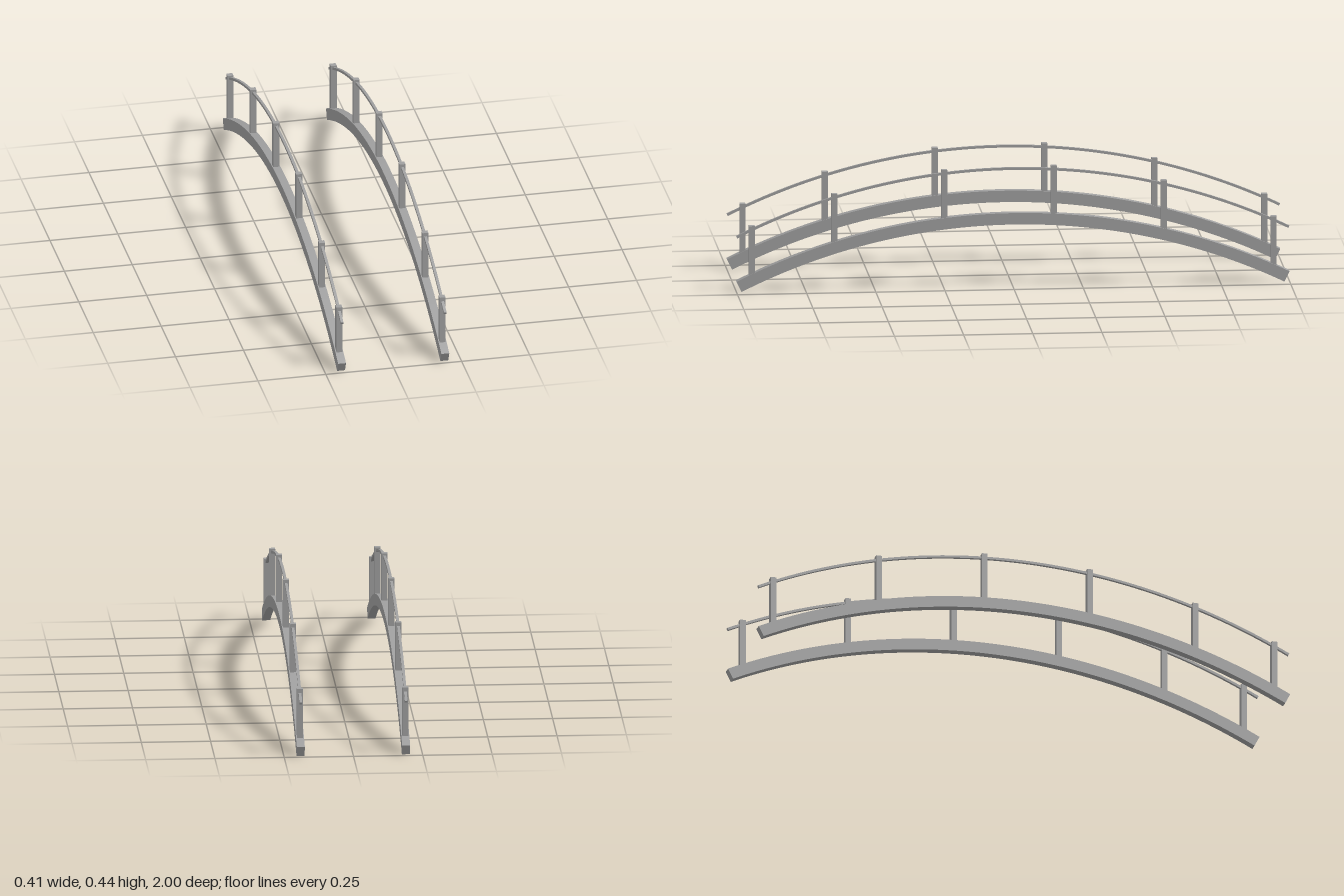
import * as THREE from 'three';

const RADIUS = 2.254;               // top curve of the beam
const CENTRE_Y = -1.982;            // centre of that curve
const HALF_ANGLE = Math.asin(1 / RADIUS);
const beamTop = (z) => Math.sqrt(RADIUS * RADIUS - z * z) + CENTRE_Y;

// Curved bar of rectangular section, arching along z and centred on x = 0
function archBar(thickness, width, lift) {
  const from = Math.PI / 2 - HALF_ANGLE;
  const to = Math.PI / 2 + HALF_ANGLE;
  const shape = new THREE.Shape();
  shape.absarc(0, 0, RADIUS, from, to, false);
  shape.absarc(0, 0, RADIUS - thickness, to, from, true);
  shape.closePath();
  const geometry = new THREE.ExtrudeGeometry(shape, {
    depth: width, bevelEnabled: false, curveSegments: 40,
  });
  geometry.translate(0, CENTRE_Y + lift, -width / 2);
  geometry.rotateY(-Math.PI / 2);
  return geometry;
}

export function createModel() {
  const model = new THREE.Group();
  model.name = 'archedBridgeRailings';

  const grey = new THREE.MeshStandardMaterial({ color: 0xa0a0a0 });
  grey.name = 'grey';

  const beamGeometry = archBar(0.042, 0.029, 0);
  const railGeometry = archBar(0.009, 0.01, 0.166);
  const postZ = [0.943, 0.645, 0.248, -0.148, -0.546, -0.943];
  const postHeight = 0.19;
  const postGeometry = new THREE.BoxGeometry(0.022, postHeight, 0.021);

  for (const side of [1, -1]) {
    const railing = new THREE.Group();
    railing.name = side > 0 ? 'leftRailing' : 'rightRailing';
    railing.position.x = side * 0.19;

    const add = (geometry, name) => {
      const mesh = new THREE.Mesh(geometry, grey);
      mesh.name = name;
      railing.add(mesh);
      return mesh;
    };
    add(beamGeometry, 'archBeam');
    add(railGeometry, 'handrail');

    // Upright posts, sunk a little into the beam
    postZ.forEach((z, i) => {
      const post = add(postGeometry, `post${i + 1}`);
      post.position.set(0, beamTop(z) + 0.176 - postHeight / 2, z);
    });
    model.add(railing);
  }
  return model;
}
